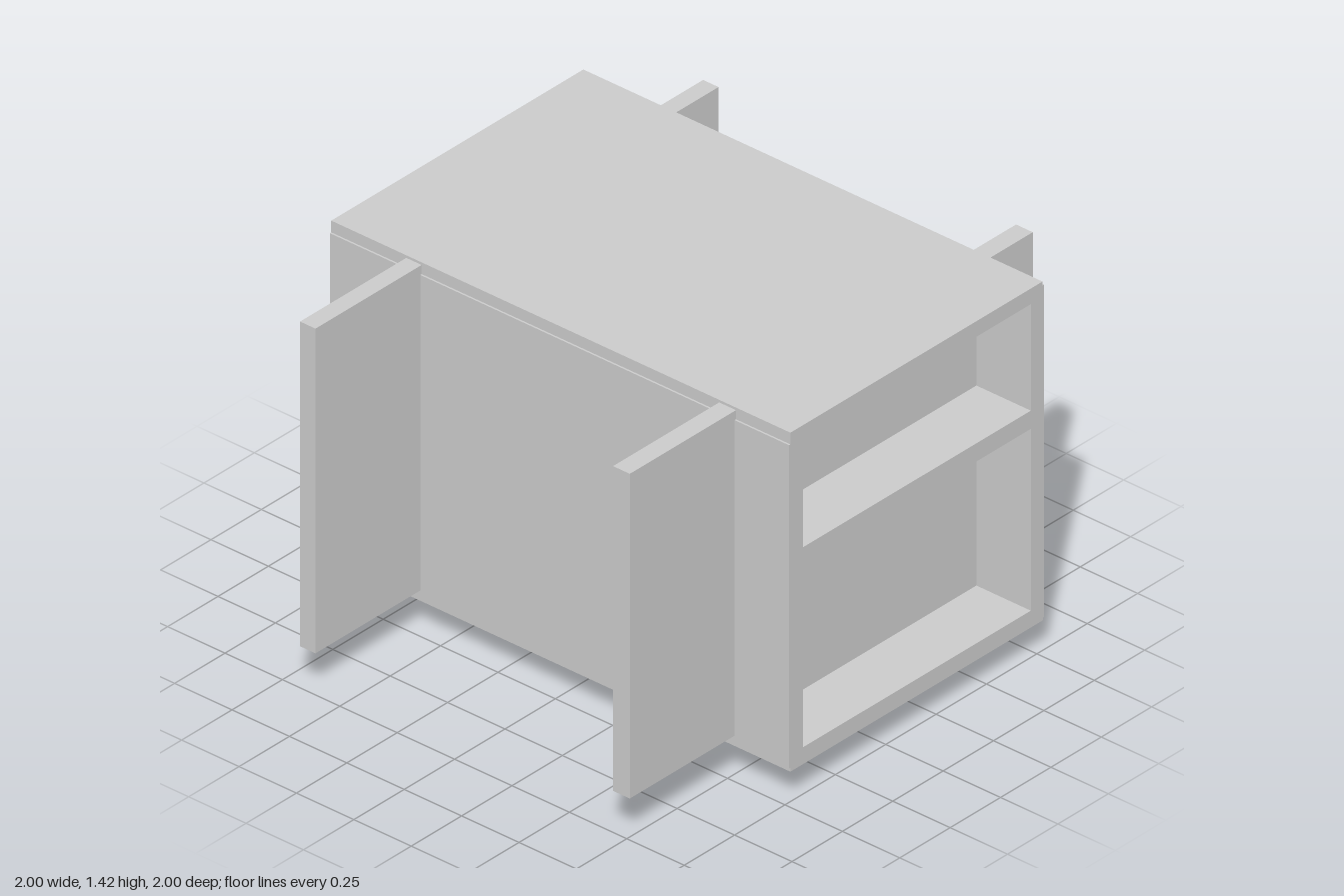
import * as THREE from 'three';

const material = new THREE.MeshStandardMaterial({ color: 0xcccccc, flatShading: true });

function addMesh(parent, name, geometry) {
  const mesh = new THREE.Mesh(geometry, material);
  mesh.name = name;
  parent.add(mesh);
  return mesh;
}

// Box given by its low and high corner
function addBox(parent, name, [x0, y0, z0], [x1, y1, z1]) {
  const mesh = addMesh(parent, name, new THREE.BoxGeometry(x1 - x0, y1 - y0, z1 - z0));
  mesh.position.set((x0 + x1) / 2, (y0 + y1) / 2, (z0 + z1) / 2);
  return mesh;
}

const polygon = (points) => points.map(([x, y]) => new THREE.Vector2(x, y));
const rectangle = (x0, y0, x1, y1) => polygon([[x0, y0], [x0, y1], [x1, y1], [x1, y0]]);

export function createModel() {
  const group = new THREE.Group();
  group.name = 'cabinet';

  // Casing: side panels stand slightly proud of the top and bottom panels
  const casing = new THREE.Shape(polygon([
    [-0.473, 0.115], [0.78, 0.115], [0.78, 0.125], [0.785, 0.125],
    [0.785, 1.405], [0.778, 1.405], [0.778, 1.42], [-0.473, 1.42],
    [-0.473, 1.375], [-0.48, 1.375], [-0.48, 0.13], [-0.473, 0.13],
  ]));
  // Two compartments separated by a shelf
  casing.holes.push(
    new THREE.Path(rectangle(-0.41, 0.18, 0.72, 0.88)),
    new THREE.Path(rectangle(-0.41, 0.95, 0.72, 1.36)),
  );
  const casingGeometry = new THREE.ExtrudeGeometry(casing, { depth: 2, bevelEnabled: false });
  addMesh(group, 'casing', casingGeometry.translate(0, 0, -1));

  // Cross boards close the compartments and stick out on both sides
  addBox(group, 'frontCrossBoard', [-1, 0.16, 0.69], [1, 1.41, 0.763]);
  addBox(group, 'backCrossBoard', [-1, 0.16, -0.673], [1, 1.41, -0.606]);

  // Two small blocks under the bottom panel
  addBox(group, 'longFoot', [0.49, 0.045, -0.348], [0.573, 0.13, -0.19]);
  const foot = addBox(group, 'turnedFoot', [0.223, 0, -0.345], [0.293, 0.13, -0.275]);
  foot.rotation.y = 0.24;

  return group;
}
